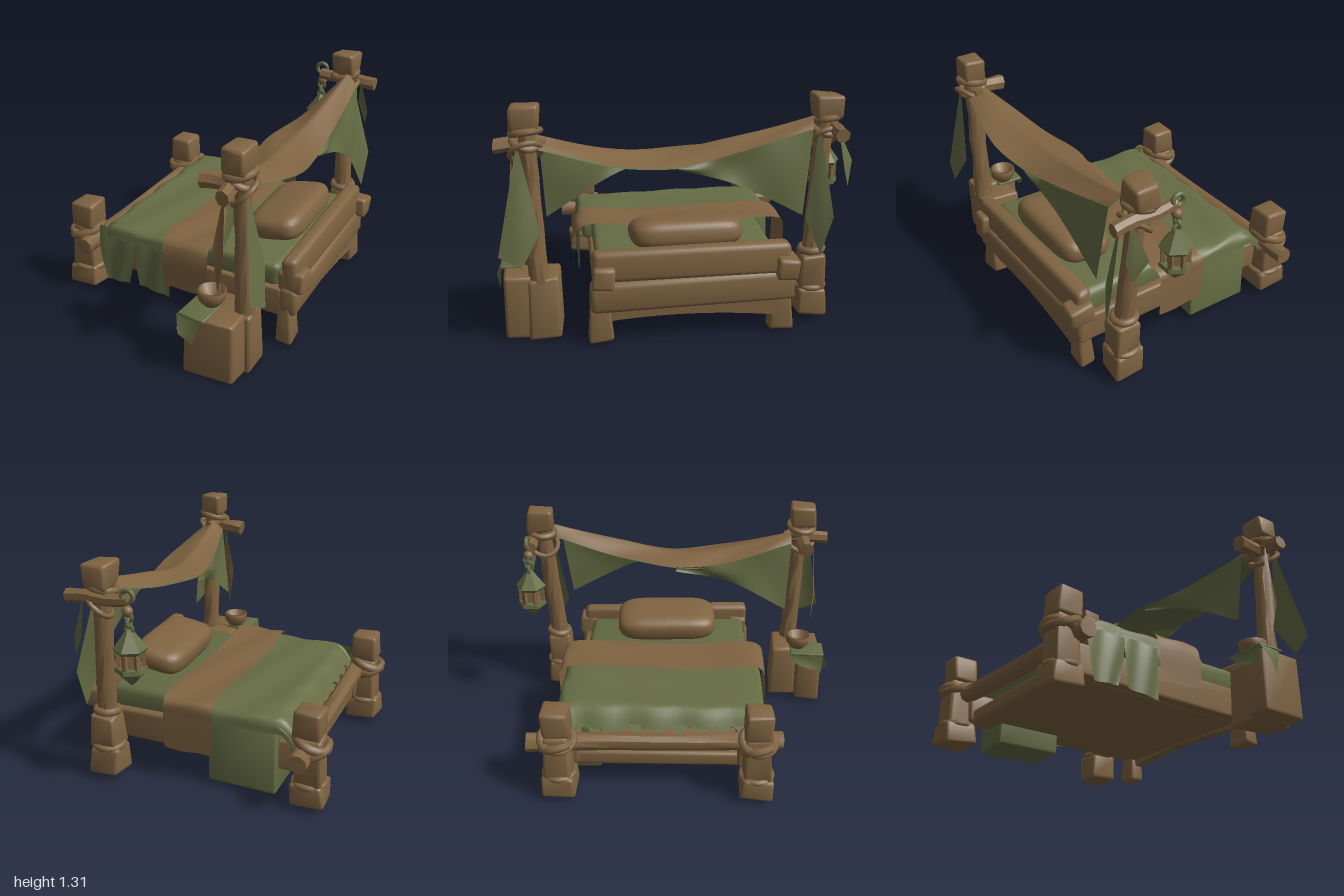
import * as THREE from 'three';
import { mergeVertices, toCreasedNormals } from 'three/addons/utils/BufferGeometryUtils.js';
import { RoundedBoxGeometry } from 'three/addons/geometries/RoundedBoxGeometry.js';

const V = (x, y, z) => new THREE.Vector3(x, y, z);
const { lerp } = THREE.MathUtils;

export function createModel() {
  const model = new THREE.Group();
  const wood = new THREE.MeshStandardMaterial({ color: 0x7f6341, side: THREE.DoubleSide });
  wood.name = 'brown wood and hide';
  const cloth = new THREE.MeshStandardMaterial({ color: 0x666c44, side: THREE.DoubleSide });
  cloth.name = 'olive cloth';

  function add(name, geo, mat, pos = [0, 0, 0], rot = [0, 0, 0]) {
    const m = new THREE.Mesh(geo, mat);
    m.name = name;
    m.position.set(...pos);
    m.rotation.set(...rot);
    model.add(m);
    return m;
  }

  // Hand-hewn look: shift vertices by a smooth wave of their position
  function roughen(geo, amount, seed) {
    const p = geo.attributes.position;
    for (let i = 0; i < p.count; i++) {
      const x = p.getX(i), y = p.getY(i), z = p.getZ(i);
      p.setXYZ(i,
        x + amount * Math.sin(23 * y + 17 * z + seed),
        y + amount * Math.sin(19 * x - 21 * z + seed * 2),
        z + amount * Math.sin(21 * y - 15 * x + seed * 3));
    }
    return toCreasedNormals(geo, 0.7);
  }

  // Rounded block between two corners; the top is scaled by taper
  let seed = 1;
  function block(name, mat, lo, hi, { taper = 1, r = 0.02, rough = 0.006, rot } = {}) {
    const s = hi.map((v, i) => v - lo[i]);
    const geo = new RoundedBoxGeometry(s[0], s[1], s[2], 2, Math.min(r, ...s.map(v => v * 0.45)));
    const p = geo.attributes.position;
    for (let i = 0; i < p.count; i++) {
      const k = lerp(1, taper, p.getY(i) / s[1] + 0.5);
      p.setX(i, p.getX(i) * k);
      p.setZ(i, p.getZ(i) * k);
    }
    return add(name, roughen(geo, rough, seed++), mat, lo.map((v, i) => v + s[i] / 2), rot);
  }

  // Round timber between two points
  function log(name, a, b, r1, r2 = r1, sides = 9) {
    const d = b.clone().sub(a);
    const geo = roughen(new THREE.CylinderGeometry(r2, r1, d.length(), sides, 6), 0.005, seed++);
    const m = add(name, geo, wood, a.clone().add(b).multiplyScalar(0.5).toArray());
    m.quaternion.setFromUnitVectors(V(0, 1, 0), d.normalize());
    return m;
  }

  function rope(name, x, y, z, r, tube, tiltX = 0, tiltZ = 0) {
    return add(name, new THREE.TorusGeometry(r, tube, 7, 20), wood, [x, y, z], [Math.PI / 2 + tiltX, tiltZ, 0]);
  }

  // Open cloth surface from a rule (u, v) -> point
  function sheet(name, mat, fn, nu = 16, nv = 24) {
    let geo = new THREE.PlaneGeometry(1, 1, nu, nv);
    const p = geo.attributes.position;
    for (let i = 0; i < p.count; i++) p.setXYZ(i, ...fn(p.getX(i) + 0.5, 0.5 - p.getY(i)).toArray());
    geo.deleteAttribute('uv');
    geo.deleteAttribute('normal');
    geo = mergeVertices(geo);
    geo.computeVertexNormals();
    return add(name, geo, mat);
  }
  const curve = pts => new THREE.CatmullRomCurve3(pts.map(p => V(...p)), false, 'centripetal');

  // Foot posts with bands and lashings
  for (const z of [-0.64, 0.48]) {
    block('footPostBase', wood, [-0.755, 0.03, z - 0.095], [-0.56, 0.16, z + 0.095], { taper: 0.93 });
    block('footPostShaft', wood, [-0.735, 0.13, z - 0.08], [-0.575, 0.42, z + 0.08], { taper: 0.85 });
    block('footPostCap', wood, [-0.725, 0.42, z - 0.078], [-0.57, 0.58, z + 0.078], { taper: 0.96 });
    rope('footPostBand', -0.655, 0.15, z, 0.085, 0.018);
    rope('footPostLashing', -0.66, 0.385, z, 0.09, 0.026, 0.1, 0.35);
    rope('footPostLashing', -0.67, 0.35, z, 0.085, 0.024, -0.2, -0.3);
  }
  log('footRail', V(-0.64, 0.335, -0.82), V(-0.585, 0.335, 0.62), 0.052);

  // Bed frame, floor and head end
  block('bedFloor', wood, [-0.6, 0.15, -0.55], [0.64, 0.24, 0.4], { rough: 0.003 });
  block('sideRail', wood, [-0.62, 0.16, 0.37], [0.64, 0.34, 0.46]);
  block('sideRail', wood, [-0.62, 0.16, -0.62], [0.64, 0.34, -0.53]);
  const turn = [0, 0.04, 0];
  block('headboardLowerBeam', wood, [0.6, 0.19, -0.65], [0.705, 0.365, 0.48], { rot: turn, r: 0.03 });
  block('headboardUpperBeam', wood, [0.605, 0.355, -0.62], [0.695, 0.53, 0.47], { rot: turn, r: 0.03 });
  // Arched skirt below the headboard
  const arch = new THREE.Shape([[-0.42, 0.22], [-0.42, 0.115]].map(p => new THREE.Vector2(...p)));
  arch.quadraticCurveTo(0.06, 0.17, 0.54, 0.105);
  arch.lineTo(0.54, 0.22);
  add('headSkirt', new THREE.ExtrudeGeometry(arch, { depth: 0.06, bevelEnabled: false, curveSegments: 10 }),
    wood, [0.61, 0, 0], [0, Math.PI / 2, 0]);
  for (const [z, x] of [[-0.575, 0.64], [0.43, 0.67]]) {
    block('headLeg', wood, [x - 0.06, 0.01, z - 0.07], [x + 0.04, 0.25, z + 0.07], { taper: 0.72 });
    block('railEnd', wood, [x - 0.06, 0.335, z - 0.08], [x + 0.09, 0.455, z + 0.04]);
  }

  // Bedding
  block('mattress', cloth, [-0.46, 0.3, -0.57], [0.6, 0.46, 0.44], { r: 0.04 });
  block('blanketFill', cloth, [-0.48, 0.32, -0.63], [-0.05, 0.455, 0.5], { r: 0.03 });
  block('blanketBackDrape', cloth, [-0.47, 0.03, -0.665], [-0.07, 0.43, -0.42], { r: 0.015 });
  const blanketPath = curve([[0, 0.4, -0.672], [0, 0.455, -0.66], [0, 0.48, -0.62], [0, 0.482, -0.3], [0, 0.478, 0.1],
    [0, 0.476, 0.46], [0, 0.46, 0.515], [0, 0.4, 0.53]]);
  sheet('blanketTop', cloth, (u, v) => {
    const p = blanketPath.getPoint(v);
    const foot = Math.max(0, 1 - u * 5);
    p.x = lerp(-0.575 + 0.04 * v + 0.01 * Math.sin(v * 60), -0.04, u);
    p.y += 0.005 * Math.sin(u * 11 + v * 13) - 0.1 * foot * foot;
    return p;
  }, 24, 48);
  // Front flaps: top x range, hem x range, hem heights, depth
  for (const [x0, x1, h0, h1, y0, y1, z0] of [
    [-0.54, -0.285, -0.49, -0.335, 0.105, 0.115, 0.535], [-0.29, -0.055, -0.265, -0.06, 0.12, 0.1, 0.525]])
    sheet('blanketFrontFlap', cloth, (u, v) => {
      const x = lerp(lerp(x0, x1, u), lerp(h0, h1, u), v * v);
      return V(x, lerp(0.455, lerp(y0, y1, u), v), z0 - 0.02 * (1 - v) ** 4 + 0.005 * Math.sin(u * 9 + v * 3));
    }, 12, 8);
  // Ragged foot edge of the blanket
  for (let i = 0; i < 9; i++) {
    const z = -0.56 + i * 0.12;
    sheet('blanketTatter', cloth, (u, v) => V(-0.545 - 0.035 * v, 0.4 - 0.05 * v,
      z + (u - 0.5) * 0.1 * (1 - 0.7 * v)), 2, 3);
  }
  const runnerPath = curve([[-0.11, 0.2, -0.7], [-0.11, 0.4, -0.7], [-0.11, 0.485, -0.69], [-0.1, 0.503, -0.62],
    [-0.1, 0.5, -0.2], [-0.1, 0.497, 0.2], [-0.09, 0.5, 0.49], [-0.08, 0.46, 0.545], [-0.07, 0.2, 0.56]]);
  sheet('hideRunner', wood, (u, v) => {
    const p = runnerPath.getPoint(v);
    p.x += 0.295 * u;
    p.y += 0.005 * Math.sin(u * 7 + v * 19) + 0.02 * u * v ** 8;
    return p;
  }, 12, 48);

  // Pillow
  const pillow = new THREE.SphereGeometry(1, 28, 18);
  const pp = pillow.attributes.position;
  const squash = (v, e) => Math.sign(v) * Math.abs(v) ** e;
  for (let i = 0; i < pp.count; i++)
    pp.setXYZ(i, 0.165 * squash(pp.getX(i), 0.5), 0.086 * squash(pp.getY(i), 0.75), 0.315 * squash(pp.getZ(i), 0.42));
  pillow.computeVertexNormals();
  add('pillow', pillow, wood, [0.435, 0.542, -0.065], [0, 0.04, 0.17]);

  // Stump table by the front post, with cloth and bowl
  block('tableBlock', wood, [0.3, 0.005, 0.79], [0.595, 0.365, 0.95], { taper: 0.96 });
  block('frontPostBase', wood, [0.36, 0.005, 0.63], [0.625, 0.355, 0.81], { taper: 0.9 });
  block('tableCloth', cloth, [0.28, 0.355, 0.75], [0.44, 0.372, 0.965], { rough: 0.003 });
  const kite = (name, mat, a, b, c, d) => sheet(name, mat, (u, v) => {
    const p = a.clone().lerp(b, u).lerp(d.clone().lerp(c, u), v);
    p.x += 0.012 * Math.sin(Math.PI * u) * Math.sin(Math.PI * v);
    return p;
  }, 5, 5);
  kite('tableClothCorner', cloth, V(0.27, 0.365, 0.96), V(0.42, 0.365, 0.96), V(0.37, 0.21, 0.975), V(0.3, 0.27, 1.0));
  kite('tableClothCorner', cloth, V(0.285, 0.37, 0.72), V(0.285, 0.37, 0.96), V(0.26, 0.25, 0.95), V(0.275, 0.29, 0.8));
  const bowl = [[0.001, 0.37], [0.045, 0.37], [0.075, 0.41], [0.08, 0.455], [0.062, 0.46], [0.05, 0.42], [0.001, 0.4]];
  add('bowl', new THREE.LatheGeometry(bowl.map(p => new THREE.Vector2(...p)), 12), wood, [0.39, 0, 0.8]);

  // Tall posts with caps and lashings
  block('backPostBase', wood, [0.4, 0.04, -0.865], [0.58, 0.2, -0.695], { taper: 0.95 });
  block('backPostBlock', wood, [0.415, 0.19, -0.855], [0.57, 0.4, -0.705], { taper: 0.93 });
  rope('backPostBand', 0.49, 0.205, -0.78, 0.08, 0.018);
  rope('backPostBand', 0.485, 0.42, -0.785, 0.06, 0.022, 0.1);
  log('backPost', V(0.49, 0.36, -0.78), V(0.435, 1.22, -0.835), 0.056, 0.048);
  log('frontPost', V(0.56, 0.33, 0.75), V(0.55, 1.22, 0.78), 0.056, 0.042);
  block('backPostCap', wood, [0.365, 1.165, -0.92], [0.505, 1.3, -0.765]);
  block('frontPostCap', wood, [0.475, 1.17, 0.71], [0.605, 1.305, 0.865]);
  for (const [x, z] of [[0.435, -0.835], [0.545, 0.785]]) {
    rope('capLashing', x, 1.16, z, 0.075, 0.02, 0.12, 0.2);
    rope('capLashing', x, 1.11, z, 0.07, 0.02, -0.2, -0.35);
    rope('capLashing', x + 0.025, 1.06, z, 0.085, 0.015, 0.3, 0.75);
  }
  log('backCrossbeam', V(0.25, 1.12, -0.885), V(0.615, 1.11, -0.885), 0.034, 0.04, 7);
  log('frontCrossbeam', V(0.53, 1.09, 0.95), V(0.53, 1.1, 0.68), 0.04, 0.036, 7);
  log('frontPeg', V(0.345, 1.08, 0.8), V(0.54, 1.1, 0.79), 0.048, 0.04, 7);

  // Sagging canopy strip: top face hide, underside cloth
  const outer = curve([[0.55, 1.13, -0.74], [0.585, 1.03, -0.35], [0.615, 0.96, 0], [0.65, 0.99, 0.3], [0.6, 1.08, 0.72]]);
  const ridge = curve([[0.47, 1.19, -0.76], [0.47, 1.085, -0.35], [0.45, 1.025, 0], [0.48, 1.035, 0.33], [0.52, 1.14, 0.72]]);
  const inner = curve([[0.42, 1.12, -0.74], [0.355, 1.03, -0.35], [0.29, 0.985, 0], [0.34, 0.99, 0.3], [0.45, 1.08, 0.72]]);
  const canopy = drop => (u, v) => {
    const a = outer.getPoint(v), b = ridge.getPoint(v), c = inner.getPoint(v);
    const p = u < 0.5 ? a.lerp(b, u * 2) : b.lerp(c, u * 2 - 1);
    p.y += 0.004 * Math.sin(u * 8 + v * 14) - drop;
    return p;
  };
  sheet('canopyTop', wood, canopy(0), 16, 32);
  sheet('canopyUnderside', cloth, canopy(0.009), 16, 32);

  // Hanging canopy corners: outer side at the back, inner side at the front
  const backHem = curve([[0.595, 0.66, -0.69], [0.6, 0.85, -0.32], [0.615, 0.95, 0]]);
  const frontHem = curve([[0.4, 0.64, 0.7], [0.36, 0.86, 0.32], [0.29, 0.955, 0]]);
  const hang = (top, hem) => (u, v) => {
    const p = top(v).lerp(hem.getPoint(v), u);
    p.x += 0.015 * Math.sin(u * Math.PI) * Math.sin(v * 9);
    return p;
  };
  sheet('canopyBackCorner', cloth, hang(v => outer.getPoint(v * 0.5), backHem), 10, 20);
  sheet('canopyFrontCorner', cloth, hang(v => inner.getPoint(1 - v * 0.5), frontHem), 10, 20);

  // Pennants tied to the posts
  kite('frontPennant', cloth, V(0.6, 1.12, 0.83), V(0.66, 0.65, 0.73), V(0.715, 0.47, 0.83), V(0.69, 0.53, 0.95));
  kite('frontHideStrip', wood, V(0.5, 1.1, 0.86), V(0.44, 0.75, 0.88), V(0.47, 0.5, 0.88), V(0.51, 0.7, 0.9));
  kite('backPennant', cloth, V(0.5, 1.15, -0.79), V(0.56, 0.62, -0.72), V(0.61, 0.43, -0.8), V(0.62, 0.65, -0.86));
  kite('backPennant', cloth, V(0.52, 1.12, -0.89), V(0.57, 0.9, -0.92), V(0.55, 0.8, -0.95), V(0.48, 0.93, -0.99));

  // Lantern hanging from a hook and chain
  const lx = 0.25, lz = -0.9;
  add('lanternHook', new THREE.TorusGeometry(0.033, 0.013, 8, 16), cloth, [lx, 1.15, lz]);
  add('lanternKnot', new THREE.SphereGeometry(0.03, 10, 8), wood, [lx + 0.005, 1.07, lz]);
  for (let i = 0; i < 3; i++)
    add('chainLink', new THREE.TorusGeometry(0.021, 0.01, 6, 12), cloth, [lx, 1.04 - i * 0.032, lz], [0, i * Math.PI / 2, 0]);
  const flat = geo => toCreasedNormals(geo, 0.4);
  add('lanternRoof', flat(new THREE.CylinderGeometry(0.018, 0.092, 0.1, 6)), cloth, [lx, 0.92, lz]);
  add('lanternRim', flat(new THREE.CylinderGeometry(0.092, 0.08, 0.02, 6)), cloth, [lx, 0.86, lz]);
  add('lanternFloor', flat(new THREE.CylinderGeometry(0.085, 0.088, 0.025, 6)), cloth, [lx, 0.755, lz]);
  add('lanternTip', flat(new THREE.CylinderGeometry(0.085, 0.008, 0.08, 6)), cloth, [lx, 0.703, lz]);
  add('lanternCore', flat(new THREE.CylinderGeometry(0.045, 0.045, 0.11, 6)), wood, [lx, 0.81, lz]);
  for (let i = 0; i < 6; i++) {
    const a = i * Math.PI / 3;
    add('lanternBar', new THREE.BoxGeometry(0.024, 0.11, 0.024), wood,
      [lx + 0.066 * Math.sin(a), 0.81, lz + 0.066 * Math.cos(a)], [0, a, 0]);
  }
  return model;
}
